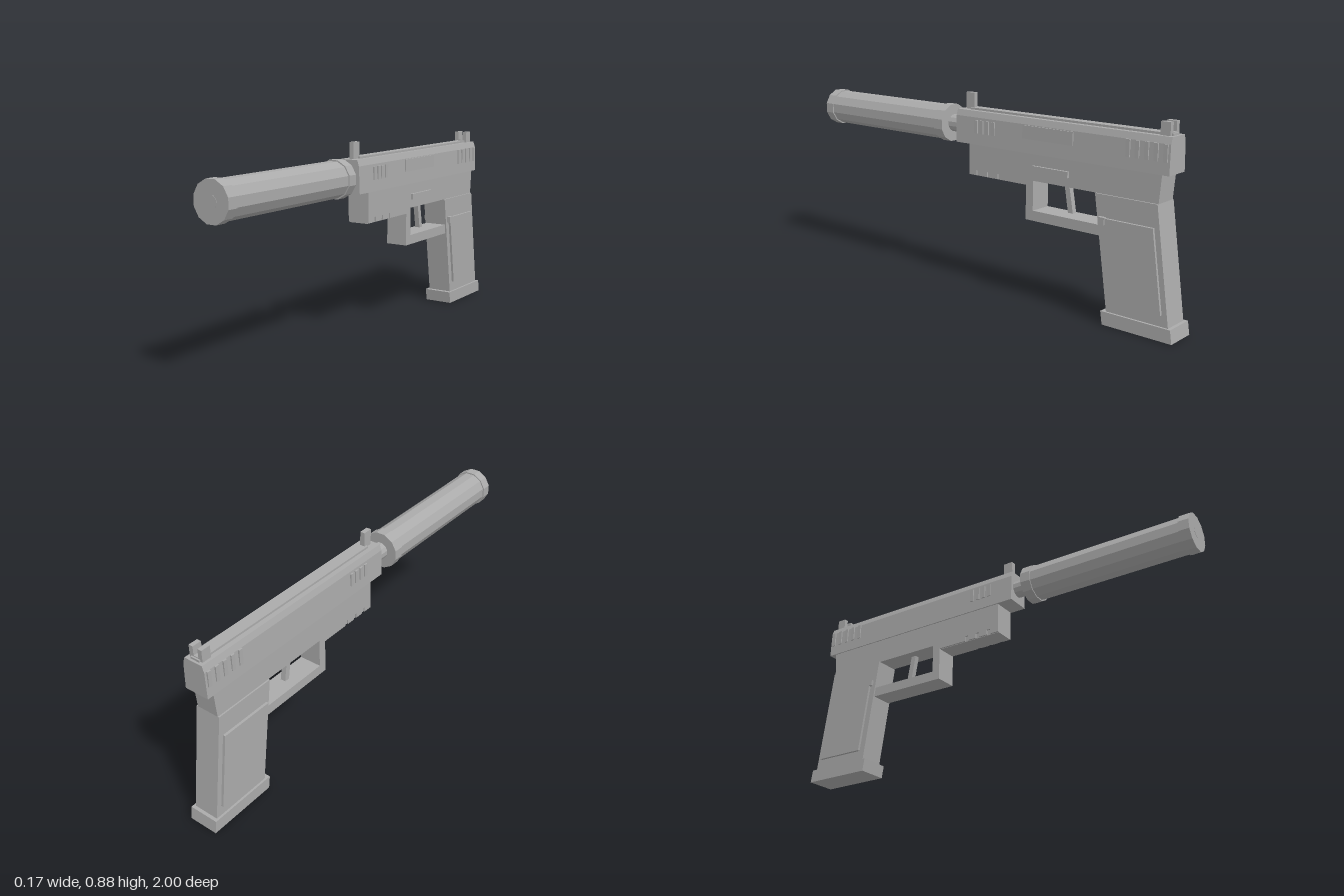
import * as THREE from 'three';

const metal = new THREE.MeshStandardMaterial({ color: 0xaaaaaa, flatShading: true });
metal.name = 'plain grey';

export function createModel() {
  const model = new THREE.Group();
  model.name = 'suppressedPistol';

  const add = (name, geometry) => {
    const mesh = new THREE.Mesh(geometry, metal);
    mesh.name = name;
    model.add(mesh);
    return mesh;
  };
  // box given by its x, y and z ranges
  const box = (name, x0, x1, y0, y1, z0, z1) =>
    add(name, new THREE.BoxGeometry(x1 - x0, y1 - y0, z1 - z0)
      .translate((x0 + x1) / 2, (y0 + y1) / 2, (z0 + z1) / 2));
  const toShape = (points) => new THREE.Shape(points.map(([a, b]) => new THREE.Vector2(a, b)));
  // side outline of [z, y] points, spread across x0..x1
  const side = (name, points, x0, x1) =>
    add(name, new THREE.ExtrudeGeometry(toShape(points), { depth: x1 - x0, bevelEnabled: false })
      .rotateY(-Math.PI / 2).translate(x1, 0, 0));
  // twelve-sided cylinder along z with flats facing the axes
  const tube = (name, radius, z0, z1) =>
    add(name, new THREE.CylinderGeometry(radius, radius, z1 - z0, 12)
      .rotateY(Math.PI / 12).rotateX(Math.PI / 2).translate(-0.002, 0.727, (z0 + z1) / 2));

  // slide with tapering sides and a raised top rib
  add('slide', new THREE.ExtrudeGeometry(
    toShape([[-0.058, 0.655], [0.056, 0.655], [0.052, 0.775], [0.043, 0.802], [-0.045, 0.802], [-0.054, 0.775]]),
    { depth: 1.085, bevelEnabled: false }).translate(0, 0, -0.95));
  box('topRib', -0.023, 0.021, 0.8, 0.811, -0.94, 0.08);

  // slide grip ridges on both sides
  for (const s of [-1, 1]) {
    const ridge = (z, y0, y1) => {
      const a = s * 0.045 - 0.001, b = s * 0.06 - 0.001;
      box('slideRidge', Math.min(a, b), Math.max(a, b), y0, y1, z - 0.009, z + 0.009);
    };
    for (let i = 0; i < 4; i++) ridge(0.016 - i * 0.032, 0.706, 0.764);
    for (let i = 0; i < 5; i++) ridge(-0.765 - i * 0.0415, 0.705, 0.775);
  }
  box('ejectionPort', 0.04, 0.058, 0.715, 0.772, -0.505, -0.245);

  // sights
  box('frontSight', -0.012, 0.01, 0.8, 0.875, 0.067, 0.113);
  box('rearSightBase', -0.033, 0.031, 0.8, 0.815, -0.933, -0.89);
  box('rearSightPost', -0.033, -0.013, 0.81, 0.855, -0.933, -0.89);
  box('rearSightPost', 0.011, 0.031, 0.81, 0.855, -0.933, -0.89);

  // barrel and suppressor
  tube('barrel', 0.039, 0.12, 0.21);
  tube('suppressorBody', 0.08, 0.22, 0.98);
  tube('suppressorRearCap', 0.0855, 0.2, 0.248);
  tube('suppressorFrontCap', 0.0855, 0.952, 0.999);
  tube('muzzle', 0.028, 0.99, 1.0);

  // frame with a lower accessory rail
  side('frame', [[0.06, 0.657], [0.06, 0.54], [-0.907, 0.54], [-0.917, 0.657]], -0.053, 0.051);
  box('railCore', -0.046, 0.044, 0.515, 0.545, -0.27, 0.06);
  for (let i = 0; i < 4; i++) {
    const z = 0.06 - i * 0.06;
    box('railLug', -0.053, 0.051, 0.517, 0.545, i === 3 ? -0.27 : z - 0.042, z);
  }

  // trigger guard
  box('guardFront', -0.053, 0.051, 0.366, 0.545, -0.3, -0.262);
  side('guardBottom', [[-0.29, 0.366], [-0.66, 0.366], [-0.66, 0.41], [-0.29, 0.41]], -0.053, 0.051);
  side('trigger', [[-0.433, 0.55], [-0.457, 0.55], [-0.48, 0.42], [-0.455, 0.42]], -0.013, 0.011);

  // raked grip, magazine base and side panels
  side('grip', [[-0.62, 0.54], [-0.69, 0.05], [-0.977, 0.05], [-0.907, 0.54]], -0.06, 0.058);
  side('magazineBase', [[-0.668, 0.057], [-0.677, 0], [-1, 0], [-0.991, 0.057]], -0.07, 0.068);
  const panel = [[-0.648, 0.446], [-0.652, 0.42], [-0.665, 0.42], [-0.71, 0.105], [-0.946, 0.105], [-0.897, 0.446]];
  side('gripPanel', panel, 0.05, 0.069);
  side('gripPanel', panel, -0.072, -0.05);

  // controls on one side
  box('magazineButton', 0.05, 0.075, 0.42, 0.45, -0.677, -0.647);
  box('slideStop', 0.045, 0.062, 0.58, 0.606, -0.485, -0.302);

  return model;
}
